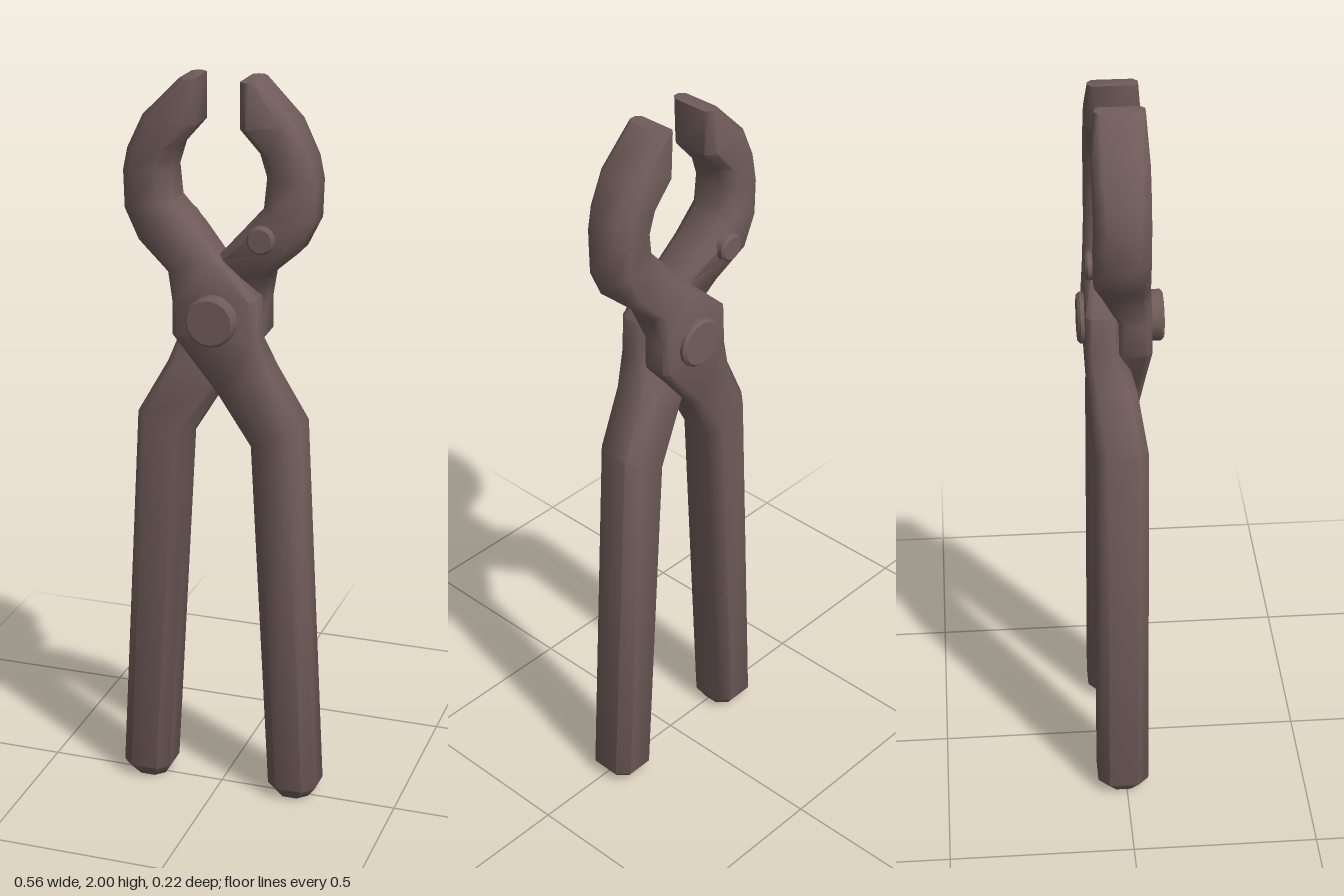
import * as THREE from 'three';
import { toCreasedNormals } from 'three/addons/utils/BufferGeometryUtils.js';

// Each station: left x,y | right x,y | back z, front z | corner chamfer
const STATIONS = [
  [-0.10, 2.00, -0.06, 2.00, -0.07, 0.055, 0.012],
  [-0.20, 1.90, -0.06, 1.88, -0.08, 0.06, 0.022],
  [-0.245, 1.81, -0.112, 1.82, -0.08, 0.06, 0.028],
  [-0.258, 1.75, -0.13, 1.76, -0.08, 0.06, 0.03],
  [-0.255, 1.65, -0.122, 1.68, -0.08, 0.06, 0.03],
  [-0.215, 1.57, -0.06, 1.61, -0.08, 0.062, 0.026],
  [-0.13, 1.495, 0.00, 1.545, -0.055, 0.07, 0.02],
  [-0.115, 1.42, 0.11, 1.44, -0.012, 0.075, 0.014],
  [-0.115, 1.33, 0.115, 1.33, -0.012, 0.075, 0.014],
  [0.00, 1.18, 0.145, 1.24, -0.055, 0.07, 0.022],
  [0.09, 1.03, 0.225, 1.095, -0.08, 0.06, 0.03],
  [0.145, 0.035, 0.28, 0.035, -0.08, 0.06, 0.03],
  [0.165, 0.00, 0.255, 0.00, -0.055, 0.035, 0.025],
];

// Loft of chamfered rectangles running from jaw tip to handle end
function halfGeometry() {
  const pos = [], index = [], n = 8;
  for (const [lx, ly, rx, ry, zb, zf, c] of STATIONS) {
    const t = c / Math.hypot(rx - lx, ry - ly);
    const ring = [
      [1, zf - c], [1, zb + c], [1 - t, zb], [t, zb],
      [0, zb + c], [0, zf - c], [t, zf], [1 - t, zf],
    ];
    for (const [u, z] of ring) pos.push(lx + (rx - lx) * u, ly + (ry - ly) * u, z);
  }
  const last = (STATIONS.length - 1) * n;
  for (let i = 0; i < last; i += n) {
    for (let j = 0; j < n; j++) {
      const k = (j + 1) % n;
      index.push(i + j, i + n + j, i + k, i + k, i + n + j, i + n + k);
    }
  }
  for (let j = 1; j < n - 1; j++) {
    index.push(0, j, j + 1, last, last + j + 1, last + j);
  }
  const g = new THREE.BufferGeometry();
  g.setAttribute('position', new THREE.Float32BufferAttribute(pos, 3));
  g.setIndex(index);
  return toCreasedNormals(g, 0.9);
}

// Round pin along z with softened rims
function pinGeometry(radius, z0, z1, bevel) {
  const profile = [
    [0, z0], [radius - bevel, z0], [radius, z0 + bevel],
    [radius, z1 - bevel], [radius - bevel, z1], [0, z1],
  ].map(([r, z]) => new THREE.Vector2(r, z));
  const g = new THREE.LatheGeometry(profile, 16);
  g.rotateX(Math.PI / 2);
  return toCreasedNormals(g, 0.6);
}

export function createModel() {
  const iron = new THREE.MeshStandardMaterial({ color: 0x705c5a });
  iron.name = 'dark iron';
  const model = new THREE.Group();
  model.name = 'tongs';

  const add = (parent, name, geometry, x = 0, y = 0) => {
    const mesh = new THREE.Mesh(geometry, iron);
    mesh.name = name;
    mesh.position.set(x, y, 0);
    parent.add(mesh);
  };

  // Two identical crossing halves, the rear one turned half way round
  const lever = halfGeometry();
  const stud = pinGeometry(0.037, -0.098, -0.05, 0.006);
  for (const name of ['frontHalf', 'backHalf']) {
    const half = new THREE.Group();
    half.name = name;
    add(half, 'jawAndHandle', lever);
    add(half, 'jawStud', stud, -0.125, 1.605);
    if (name === 'backHalf') {
      half.rotation.y = Math.PI;
      half.position.z = -0.02;
    }
    model.add(half);
  }

  // Pivot rivet through both halves
  add(model, 'pivotRivet', pinGeometry(0.067, -0.112, 0.11, 0.007), 0, 1.385);
  return model;
}
